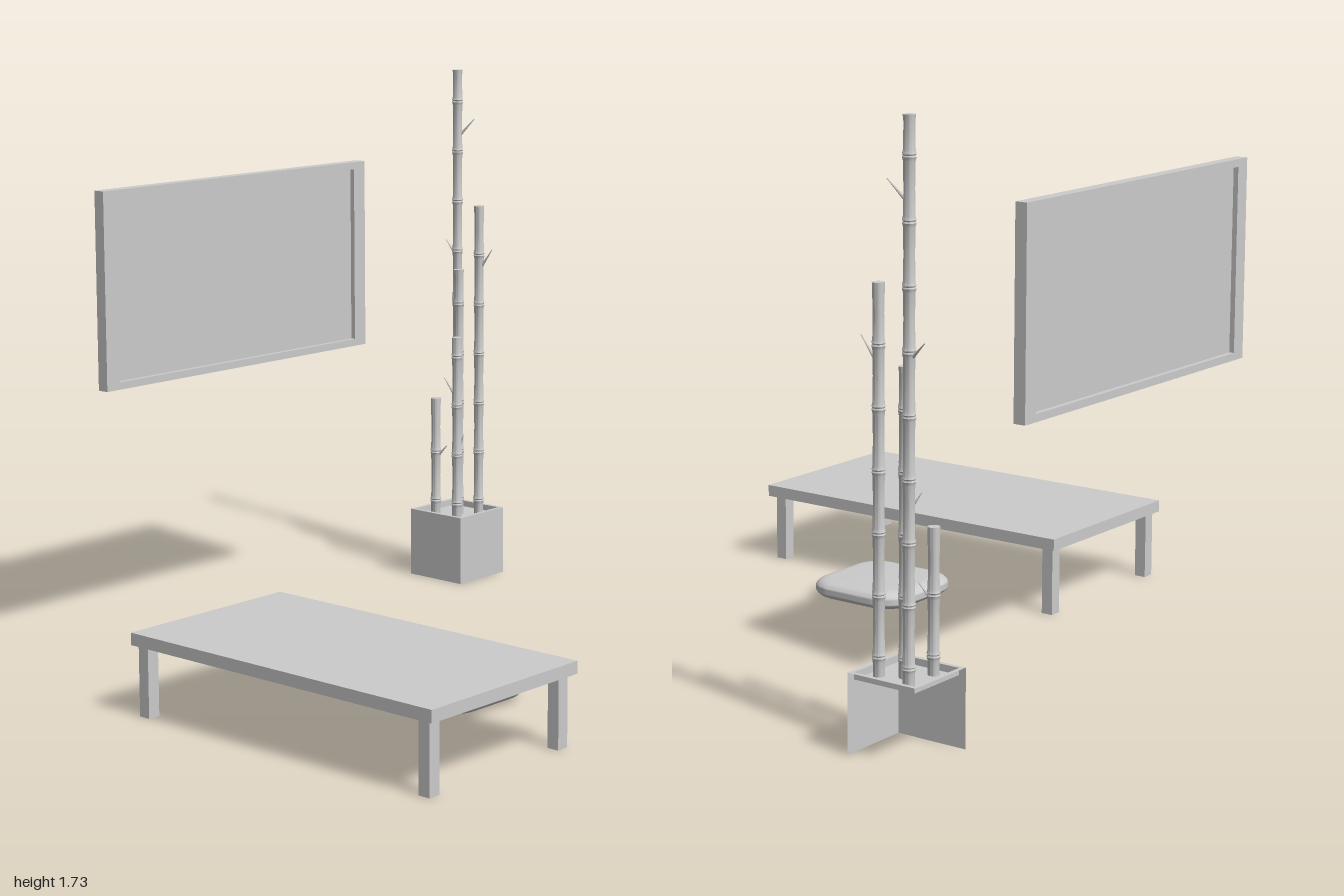
import * as THREE from 'three';
import { toCreasedNormals } from 'three/addons/utils/BufferGeometryUtils.js';

const grey = new THREE.MeshStandardMaterial({ color: 0xcccccc });
const greyThin = new THREE.MeshStandardMaterial({ color: 0xcccccc, side: THREE.DoubleSide });

function add(parent, name, geometry, x = 0, y = 0, z = 0, material = grey) {
  const mesh = new THREE.Mesh(geometry, material);
  mesh.name = name;
  mesh.position.set(x, y, z);
  parent.add(mesh);
  return mesh;
}

function group(parent, name) {
  const g = new THREE.Group();
  g.name = name;
  parent.add(g);
  return g;
}

// Rectangle outline centred on the origin
function rect(Type, w, h) {
  return new Type([[-w, -h], [w, -h], [w, h], [-w, h]].map(([x, y]) => new THREE.Vector2(x / 2, y / 2)));
}

// Flat ring with a rectangular hole, extruded along +z
function rectFrame(w, h, holeW, holeH, depth) {
  const shape = rect(THREE.Shape, w, h);
  shape.holes.push(rect(THREE.Path, holeW, holeH));
  return new THREE.ExtrudeGeometry(shape, { depth, bevelEnabled: false });
}

// Low table: slab and four square legs
function buildTable(parent) {
  const table = group(parent, 'table');
  add(table, 'tableTop', new THREE.BoxGeometry(1.148, 0.037, 0.613), 0.251, 0.2315, 0.6935);
  for (const x of [-0.288, 0.785])
    for (const z of [0.424, 0.965])
      add(table, 'tableLeg', new THREE.BoxGeometry(0.038, 0.213, 0.04), x, 0.1065, z);
}

// Floor cushion: rounded square with soft pillow edges
function buildCushion(parent) {
  const h = 0.13, r = 0.05;
  const shape = new THREE.Shape();
  shape.absarc(h - r, h - r, r, 0, Math.PI / 2);
  shape.absarc(r - h, h - r, r, Math.PI / 2, Math.PI);
  shape.absarc(r - h, r - h, r, Math.PI, Math.PI * 1.5);
  shape.absarc(h - r, r - h, r, Math.PI * 1.5, Math.PI * 2);
  shape.closePath();
  const geometry = new THREE.ExtrudeGeometry(shape, {
    depth: 0.004, bevelThickness: 0.028, bevelSize: 0.05, bevelSegments: 8, curveSegments: 10,
  });
  geometry.rotateX(-Math.PI / 2);
  add(parent, 'cushion', toCreasedNormals(geometry, 0.8), 0.25, 0.033, 0.26);
}

// Wall picture: thin frame around a recessed panel
function buildPicture(parent) {
  const picture = group(parent, 'wallPicture');
  const frame = rectFrame(1.155, 0.61, 1.053, 0.564, 0.038);
  frame.rotateY(Math.PI / 2);
  add(picture, 'pictureFrame', frame, -0.825, 1.15, 0.072);
  add(picture, 'picturePanel', new THREE.BoxGeometry(0.006, 0.566, 1.055), -0.806, 1.15, 0.072);
}

// Planter: two outer walls, a raised rim and sunken soil; back and underside stay open
function buildPlanter(parent) {
  const planter = group(parent, 'planter');
  const size = 0.226, height = 0.23, cx = -0.712, cz = -0.887;
  const wall = new THREE.PlaneGeometry(size, height);
  add(planter, 'frontWall', wall, cx, height / 2, cz + size / 2, greyThin);
  add(planter, 'sideWall', wall, cx + size / 2, height / 2, cz, greyThin).rotation.y = Math.PI / 2;
  const inner = 0.2, rimDepth = 0.02;
  const shape = rect(THREE.Shape, size, size);
  shape.holes.push(rect(THREE.Path, inner, inner));
  add(planter, 'rim', new THREE.ShapeGeometry(shape), cx, height, cz, greyThin).rotation.x = -Math.PI / 2;
  for (let i = 0; i < 4; i++) {
    const a = i * Math.PI / 2;
    add(planter, 'rimInside', new THREE.PlaneGeometry(inner, rimDepth),
      cx + Math.sin(a) * inner / 2, height - rimDepth / 2, cz + Math.cos(a) * inner / 2, greyThin).rotation.y = a;
  }
  add(planter, 'soil', new THREE.PlaneGeometry(inner, inner), cx, height - rimDepth, cz, greyThin)
    .rotation.x = -Math.PI / 2;
}

// Cane profile: slightly waisted segments with a ridge at each node
function caneGeometry(bottom, top) {
  const points = [new THREE.Vector2(0.0165, bottom)];
  const pitch = 0.17;
  for (let y = bottom + 0.06; y < top - 0.03; y += pitch) {
    points.push(new THREE.Vector2(0.0165, y - 0.014), new THREE.Vector2(0.019, y - 0.004),
      new THREE.Vector2(0.0165, y), new THREE.Vector2(0.019, y + 0.004), new THREE.Vector2(0.0165, y + 0.014));
    if (y + pitch / 2 < top - 0.01) points.push(new THREE.Vector2(0.0152, y + pitch / 2));
  }
  points.push(new THREE.Vector2(0.0175, top), new THREE.Vector2(0, top));
  return toCreasedNormals(new THREE.LatheGeometry(points, 12), 0.7);
}

// Tapered twig between two points
function addTwig(parent, from, to) {
  const a = new THREE.Vector3(...from), dir = new THREE.Vector3(...to).sub(a);
  const geometry = new THREE.CylinderGeometry(0.001, 0.006, dir.length(), 6);
  geometry.translate(0, dir.length() / 2, 0);
  add(parent, 'twig', geometry, a.x, a.y, a.z)
    .quaternion.setFromUnitVectors(new THREE.Vector3(0, 1, 0), dir.normalize());
}

// Bamboo: x, z, height, then each twig as start height and tip
function buildBamboo(parent) {
  const bamboo = group(parent, 'bamboo');
  const canes = [
    [-0.77, -0.955, 1.73, [[1.5, [-0.715, 1.565, -0.978]], [1.09, [-0.826, 1.145, -0.962]]]],
    [-0.645, -0.922, 1.28, [[1.06, [-0.592, 1.135, -0.928]]]],
    [-0.71, -0.893, 1.06, [[0.84, [-0.766, 0.91, -0.937]], [0.43, [-0.68, 0.49, -0.882]]]],
    [-0.66, -0.825, 0.84, [[0.63, [-0.7, 0.7, -0.805]]]],
    [-0.755, -0.825, 0.62, [[0.41, [-0.708, 0.46, -0.83]]]],
  ];
  for (const [x, z, top, twigs] of canes) {
    add(bamboo, 'cane', caneGeometry(0.205, top), x, 0, z, greyThin);
    for (const [y, tip] of twigs) addTwig(bamboo, [x, y, z], tip);
  }
}

export function createModel() {
  const model = new THREE.Group();
  model.name = 'loungeSet';
  buildTable(model);
  buildCushion(model);
  buildPicture(model);
  buildPlanter(model);
  buildBamboo(model);
  return model;
}
